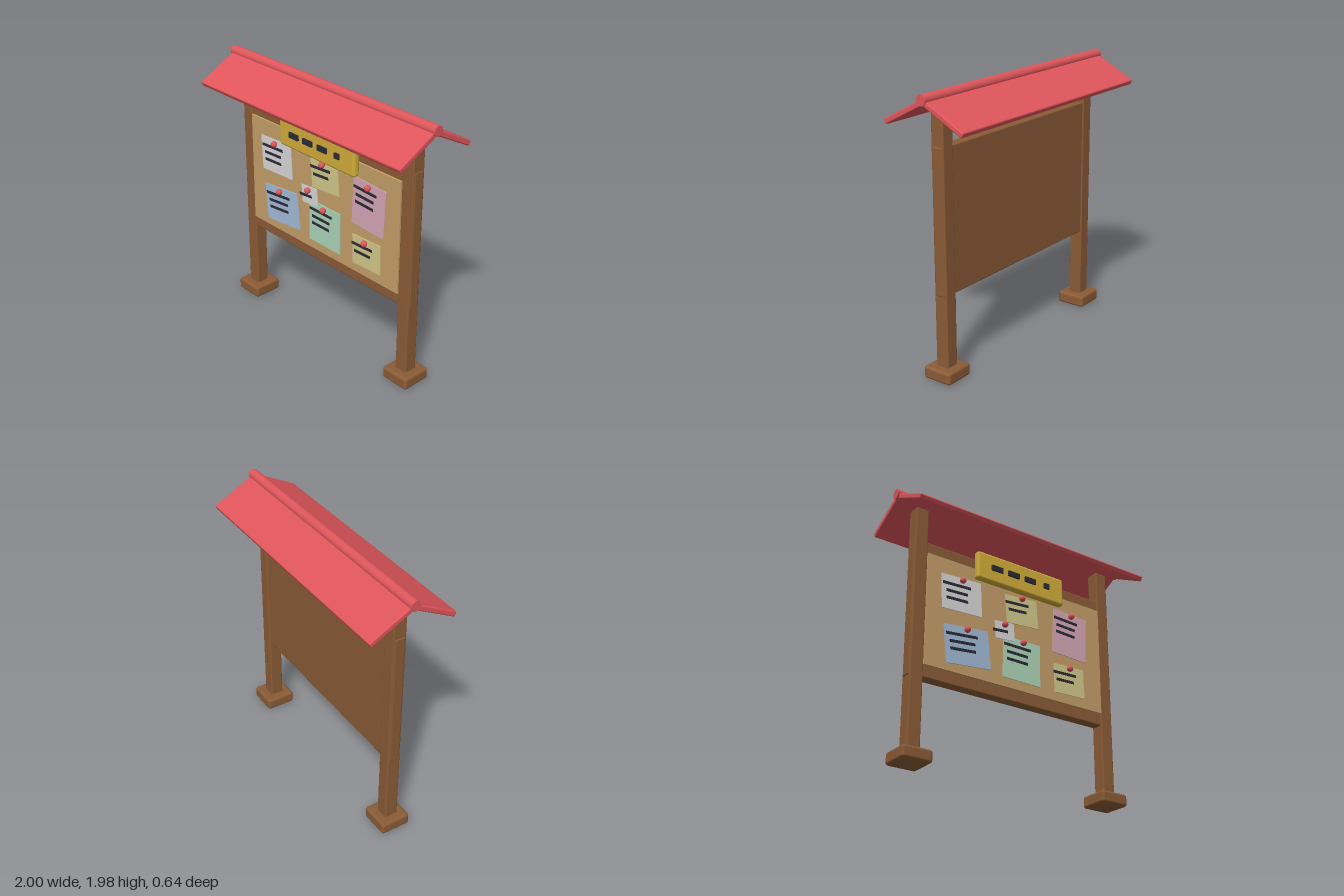
import * as THREE from 'three';
import { RoundedBoxGeometry } from 'three/addons/geometries/RoundedBoxGeometry.js';

function material(name, color) {
  const m = new THREE.MeshStandardMaterial({ color });
  m.name = name;
  return m;
}

export function createModel() {
  const wood = material('wood', 0x8b5c36);
  const cork = material('cork', 0xc69f6a);
  const red = material('red', 0xdf565b);
  const gold = material('gold', 0xd2ae3a);
  const ink = material('ink', 0x2b2b38);
  const white = material('white paper', 0xd8d8da);
  const yellow = material('yellow paper', 0xd3ca8a);
  const pink = material('pink paper', 0xd6a8b7);
  const blue = material('blue paper', 0xa4bcd8);
  const green = material('green paper', 0xaed6b9);

  const model = new THREE.Group();
  model.name = 'noticeBoard';

  function add(parent, name, geometry, mat, x, y, z) {
    const mesh = new THREE.Mesh(geometry, mat);
    mesh.name = name;
    mesh.position.set(x, y, z);
    parent.add(mesh);
    return mesh;
  }
  const rounded = (w, h, d, r) => new RoundedBoxGeometry(w, h, d, 3, r);

  // Posts and feet
  for (const [side, s] of [['left', 1], ['right', -1]]) {
    add(model, side + 'Post', rounded(0.1, 1.82, 0.1, 0.01), wood, s * 0.805, 0.96, 0);
    add(model, side + 'Foot', rounded(0.225, 0.09, 0.225, 0.02), wood, s * 0.805, 0.045, 0);
  }

  // Board: wooden backing whose rim forms the rails, with a cork face
  add(model, 'boardFrame', rounded(1.72, 1.02, 0.08, 0.01), wood, 0, 1.11, 0);
  add(model, 'corkPanel', new THREE.BoxGeometry(1.51, 0.84, 0.03), cork, 0, 1.11, 0.04);

  // Pitched roof with a round ridge
  const roof = new THREE.Group();
  roof.name = 'roof';
  model.add(roof);
  for (const [side, s] of [['front', 1], ['back', -1]]) {
    const slab = add(roof, side + 'RoofSlab', rounded(1.98, 0.04, 0.358, 0.01), red, 0, 1.848, s * 0.158);
    slab.rotation.x = s * 0.482;
  }
  const ridge = add(roof, 'ridge', new THREE.CylinderGeometry(0.037, 0.037, 2, 24), red, 0, 1.944, 0);
  ridge.rotation.z = Math.PI / 2;

  // Sign with raised dashes
  add(model, 'sign', rounded(0.76, 0.22, 0.055, 0.02), gold, 0, 1.545, 0.084);
  for (const [x, w] of [[-0.218, 0.094], [-0.075, 0.094], [0.072, 0.094], [0.219, 0.046]]) {
    add(model, 'signDash', new THREE.BoxGeometry(w, 0.04, 0.016), ink, x, 1.546, 0.117);
  }

  // Notices: x, y, width, height, tilt in degrees, first line y, line count, line lengths, pin x, pin y
  const notices = [
    [white, -0.476, 1.283, 0.325, 0.263, 2.8, 0.064, 3, 0.225, 0.175, -0.481, 1.388],
    [yellow, 0.037, 1.307, 0.275, 0.22, 4.5, 0.051, 2, 0.2, 0.155, 0.027, 1.401],
    [pink, 0.47, 1.238, 0.305, 0.355, -2.5, 0.108, 3, 0.215, 0.17, 0.476, 1.388],
    [blue, -0.422, 0.904, 0.36, 0.285, 6, 0.076, 3, 0.255, 0.205, -0.436, 1.021],
    [green, 0.035, 0.917, 0.32, 0.32, -0.5, 0.096, 3, 0.23, 0.18, 0.037, 1.051],
    [yellow, 0.457, 0.872, 0.27, 0.225, 2, 0.045, 2, 0.2, 0.155, 0.452, 0.96],
    [white, -0.115, 1.11, 0.16, 0.135, 5, -0.007, 1, 0.125, 0.1, -0.123, 1.15],
  ];
  const pinGeometry = new THREE.SphereGeometry(0.023, 20, 14);
  notices.forEach(([mat, x, y, w, h, tilt, lineY, count, first, rest, pinX, pinY], i) => {
    const notice = new THREE.Group();
    notice.name = 'notice';
    // The last, small notice overlaps its neighbour
    notice.position.set(x, y, i === 6 ? 0.063 : 0.058);
    notice.rotation.z = THREE.MathUtils.degToRad(tilt);
    model.add(notice);
    add(notice, 'paper', new THREE.BoxGeometry(w, h, 0.006), mat, 0, 0, 0);
    for (let k = 0; k < count; k++) {
      const length = k === 0 ? first : rest;
      add(notice, 'writtenLine', new THREE.BoxGeometry(length, 0.02, 0.004), ink, -0.04, lineY - k * 0.055, 0.005);
    }
    add(model, 'pin', pinGeometry, red, pinX, pinY, 0.08);
  });

  return model;
}
